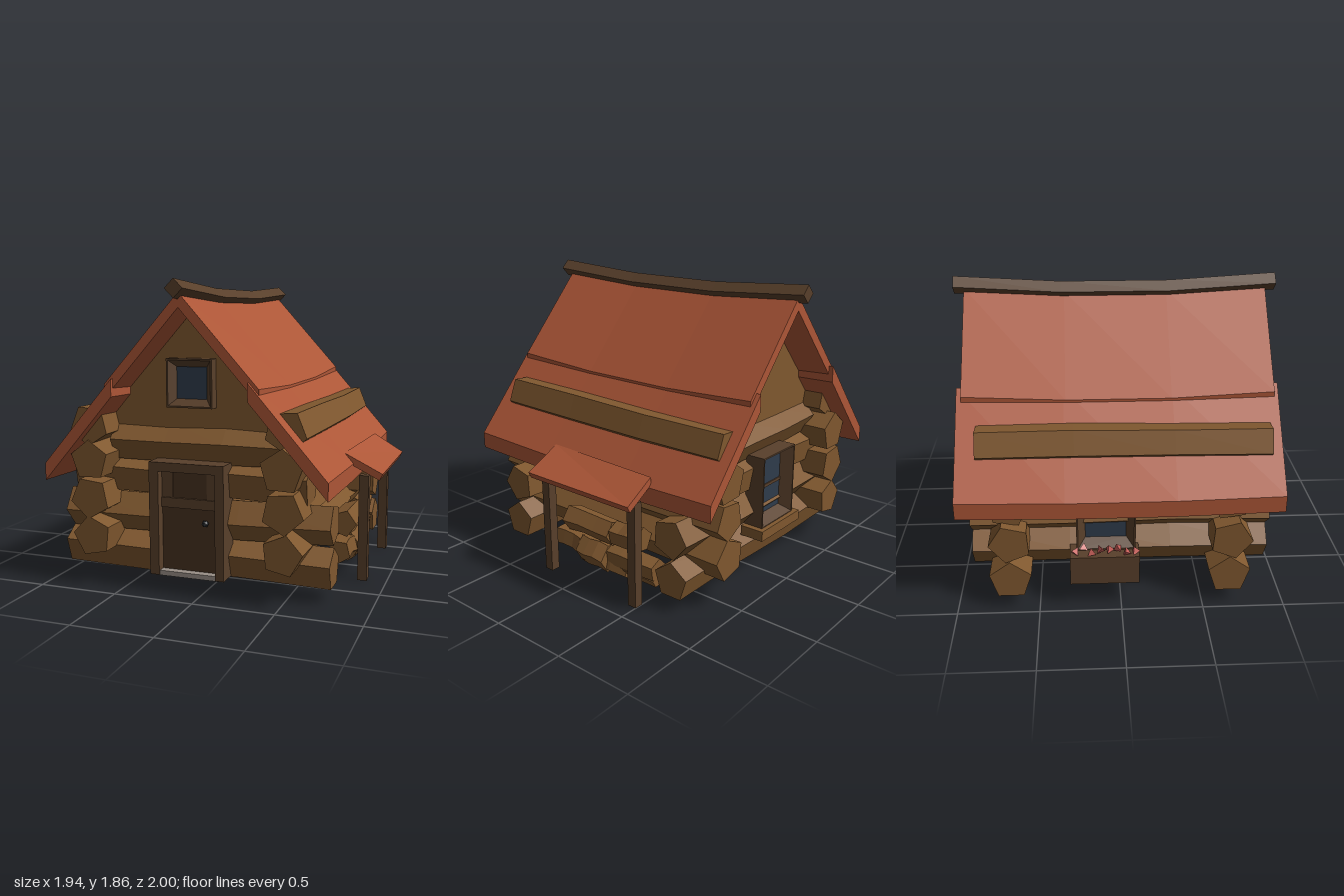
import * as THREE from 'three';

const LOG = 0x80582f, ROOF = 0xad5637, TRIM = 0x59402b, DOOR = 0x47311f;
const GLASS = 0x2f3c4c, FLOWER = 0xc9605a, STONE = 0x9a9088, IRON = 0x33363a;
const MID = -0.092; // x of the ridge

const materials = {};
const mat = c => (materials[c] ??= new THREE.MeshStandardMaterial({ color: c, flatShading: true }));

let seed = 7;
const rand = () => { seed = (seed * 16807) % 2147483647; return seed / 2147483647; };
const jitter = a => (rand() * 2 - 1) * a;

// Closed solid through cross-sections; each loop runs counter-clockwise seen from +z
function loft(sections) {
  const pos = [], tri = (a, b, c) => pos.push(...a, ...b, ...c);
  const n = sections[0].length, first = sections[0], last = sections.at(-1);
  for (let i = 0; i < sections.length - 1; i++) {
    for (let j = 0; j < n; j++) {
      const k = (j + 1) % n, a = sections[i], b = sections[i + 1];
      tri(a[j], a[k], b[k]);
      tri(a[j], b[k], b[j]);
    }
  }
  for (let j = 1; j < n - 1; j++) {
    tri(last[0], last[j], last[j + 1]);
    tri(first[0], first[j + 1], first[j]);
  }
  const g = new THREE.BufferGeometry();
  g.setAttribute('position', new THREE.Float32BufferAttribute(pos, 3));
  g.computeVertexNormals();
  return g;
}

function add(parent, name, geometry, color, x = 0, y = 0, z = 0) {
  const m = new THREE.Mesh(geometry, mat(color));
  m.name = name;
  m.position.set(x, y, z);
  parent.add(m);
  return m;
}

const box = (parent, name, color, [x0, x1], [y0, y1], [z0, z1]) =>
  add(parent, name, new THREE.BoxGeometry(x1 - x0, y1 - y0, z1 - z0), color,
    (x0 + x1) / 2, (y0 + y1) / 2, (z0 + z1) / 2);

// Five-sided, slightly uneven log from a to b along z
function logGeometry(a, b, r, degrees) {
  const sections = [0, 0.33, 0.67, 1].map(t => {
    const s = r * (1 + jitter(0.05)), dx = jitter(0.008), dy = jitter(0.008);
    return [0, 1, 2, 3, 4].map(i => {
      const ang = THREE.MathUtils.degToRad(degrees + i * 72);
      return [dx + s * Math.cos(ang), dy + s * Math.sin(ang), a + (b - a) * t];
    });
  });
  return loft(sections);
}

// Sheet with a given x/y outline, run along z and sagging in the middle
const sheet = (outline, ends, sag) => loft([-1, -0.34, 0.34, 1].map(t =>
  outline.map(([x, y]) => [x, y - (Math.abs(t) < 1 ? sag : 0),
    (ends[0] + ends[1]) / 2 + t * (ends[1] - ends[0]) / 2])));

// Window with a bevelled frame, facing +z
function makeWindow(name, w, h, border, depth, bars) {
  const g = new THREE.Group();
  g.name = name;
  const ring = (inset, z) => {
    const a = w / 2 - inset, b = h / 2 - inset;
    return [[-a, -b, z], [a, -b, z], [a, b, z], [-a, b, z]];
  };
  add(g, 'windowFrame', loft([ring(0, 0), ring(0, depth), ring(0.01, depth), ring(border, depth * 0.4)]), TRIM);
  const iw = w - 2 * border, ih = h - 2 * border, z = depth * 0.4;
  box(g, 'windowGlass', GLASS, [-iw / 2, iw / 2], [-ih / 2, ih / 2], [z - 0.01, z + 0.004]);
  if (bars) box(g, 'windowBar', TRIM, [-iw / 2, iw / 2], [-0.008, 0.012], [z, z + 0.012]);
  return g;
}

export function createModel() {
  const model = new THREE.Group();
  model.name = 'logCabin';

  // Side wall logs, running front to back
  for (const side of [-1, 1]) {
    [[0.31, 30], [0.55, 48], [0.785, 20], [1.0, 50]].forEach(([y, rot], i) => {
      const ends = i === 3 ? (side < 0 ? [-0.85, 0.9] : [-0.9, 0.85]) : [-0.91, 0.91];
      const x = MID + side * (i === 3 ? 0.61 : 0.605);
      add(model, 'sideLog', logGeometry(...ends, 0.128, side < 0 ? rot : 180 - rot), LOG, x, y, 0);
    });
  }

  // Front and back wall logs, running left to right
  for (const side of [-1, 1]) {
    [[0.19, -0.95, 0.76, 18], [0.445, -0.94, 0.76, 40], [0.67, -0.88, 0.62, 10], [0.885, -0.62, 0.47, 30]]
      .forEach(([y, a, b, rot]) => {
        const g = logGeometry(a, b, 0.128, side > 0 ? rot : 180 - rot).rotateY(Math.PI / 2);
        add(model, 'crossLog', g, LOG, 0, y, side * 0.665);
      });
  }

  // Triangular gable walls
  for (const z of [-0.72, 0.62]) {
    const tri = [[MID - 0.66, 0.95], [MID + 0.66, 0.95], [MID, 1.68]];
    add(model, 'gableWall', loft([z, z + 0.1].map(d => tri.map(([x, y]) => [x, y, d]))), LOG);
  }

  // Roof: upper sheets overlapping the lower ones
  for (const side of [-1, 1]) {
    const slope = (x0, y0, x1, y1, t) => {
      const p = [[x0, y0], [x0, y0 - t], [x1, y1 - t], [x1, y1]].map(([x, y]) => [MID + side * x, y]);
      return side > 0 ? p : p.reverse();
    };
    add(model, 'upperRoof', sheet(slope(0, 1.78, 0.478, 1.25, 0.085), [-0.94, 0.94], 0.03), ROOF);
    add(model, 'lowerRoof', sheet(slope(0.42, 1.285, 0.88, 0.76, 0.105), [-0.97, 0.965], 0.015), ROOF);
  }

  // Ridge beam, lifted at both ends
  const diamond = [[0.055, 0], [0, 0.055], [-0.055, 0], [0, -0.055]].map(([x, y]) => [MID + x, y + 1.8]);
  add(model, 'ridgeBeam', sheet(diamond, [-1, 1], 0.04), TRIM);

  // Side porch roof and posts
  add(model, 'porchRoof', loft([[-0.53, 0.77], [0.3, 0.73]].map(([z, x]) =>
    [[x, 0.76], [0.95, 0.65], [0.97, 0.69], [x, 0.81]].map(([px, py]) => [px, py, z]))), ROOF);
  for (const z of [0.25, -0.47]) {
    box(model, 'porchPost', TRIM, [0.82, 0.88], [0, 0.67], [z - 0.03, z + 0.03]);
  }

  // Firewood stacked against the wall: z range, height, radius
  [[-0.18, 0.2, 0.33, 0.085], [-0.41, -0.19, 0.345, 0.08], [0.08, 0.3, 0.17, 0.08],
    [-0.15, 0.08, 0.155, 0.095], [-0.52, -0.14, 0.185, 0.075], [-0.3, 0.08, 0.1, 0.045], [-0.52, -0.28, 0.115, 0.045]]
    .forEach(([a, b, y, r], i) =>
      add(model, 'firewood', logGeometry(a, b, r, 25 * i), LOG, 0.7 + (i % 2) * 0.015, y, 0));

  // Door
  const door = new THREE.Group();
  door.name = 'door';
  model.add(door);
  box(door, 'doorJamb', TRIM, [-0.33, -0.27], [0.1, 0.79], [0.7, 0.86]);
  box(door, 'doorJamb', TRIM, [0.09, 0.145], [0.1, 0.79], [0.7, 0.86]);
  box(door, 'doorLintel', TRIM, [-0.27, 0.09], [0.735, 0.79], [0.7, 0.86]);
  box(door, 'threshold', STONE, [-0.32, 0.135], [0.095, 0.125], [0.7, 0.85]);
  box(door, 'doorPanel', DOOR, [-0.27, 0.09], [0.12, 0.735], [0.72, 0.8]);
  box(door, 'doorRail', TRIM, [-0.27, 0.09], [0.51, 0.57], [0.79, 0.815]);
  for (const x of [-0.27, 0.02]) {
    box(door, 'doorStile', TRIM, [x, x + 0.07], [0.57, 0.735], [0.79, 0.806]);
  }
  add(door, 'doorKnob', new THREE.IcosahedronGeometry(0.022, 0), IRON, 0.015, 0.43, 0.82);

  // Windows in the front gable, the back wall and the side wall
  const gableWindow = makeWindow('gableWindow', 0.29, 0.29, 0.05, 0.08, false);
  gableWindow.position.set(-0.095, 1.255, 0.71);
  const backWindow = makeWindow('backWindow', 0.36, 0.47, 0.055, 0.13, true);
  backWindow.position.set(-0.09, 0.565, -0.73);
  backWindow.rotation.y = Math.PI;
  const sideWindow = makeWindow('sideWindow', 0.36, 0.45, 0.055, 0.11, true);
  sideWindow.position.set(-0.76, 0.575, -0.09);
  sideWindow.rotation.y = -Math.PI / 2;
  model.add(gableWindow, backWindow, sideWindow);
  box(model, 'backSill', LOG, [-0.31, 0.13], [0.27, 0.335], [-0.89, -0.73]);

  // Flower box with a row of small blossoms
  box(model, 'flowerBox', TRIM, [-0.95, -0.8], [0.16, 0.35], [-0.31, 0.11]);
  for (let i = 0; i < 8; i++) {
    const f = add(model, 'blossom', new THREE.TetrahedronGeometry(0.033), FLOWER,
      -0.915 + jitter(0.015), 0.375 + jitter(0.015), -0.28 + i * 0.052);
    f.rotation.set(i, i * 1.7, 0);
  }

  return model;
}
